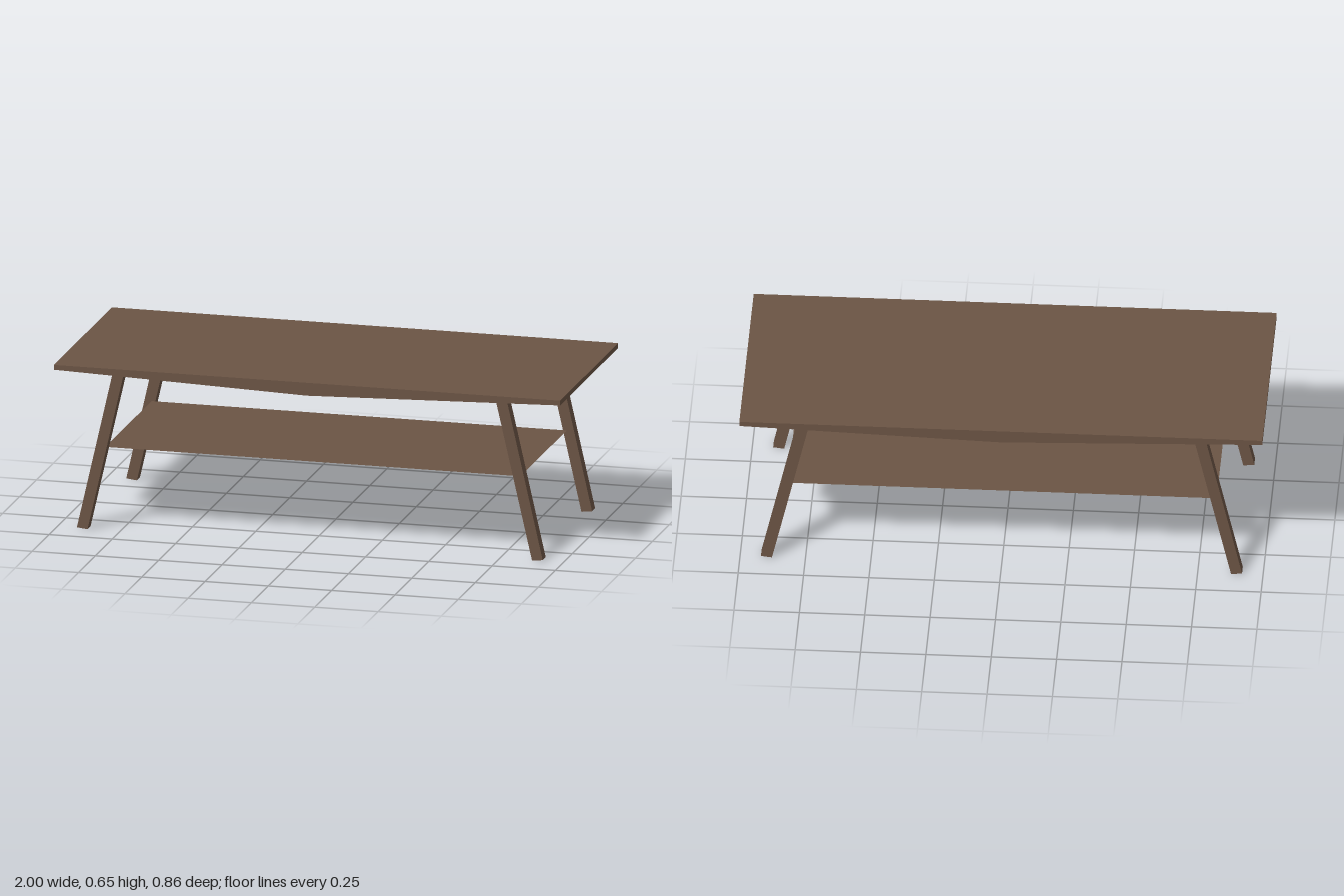
import * as THREE from 'three';

export function createModel() {
  const model = new THREE.Group();
  model.name = 'coffeeTable';
  const wood = new THREE.MeshStandardMaterial({ color: 0x6b5444, side: THREE.DoubleSide });
  wood.name = 'brown wood';

  // Extrude an outline in the x-y plane, centred on z = 0
  function slab(points, depth) {
    const shape = new THREE.Shape(points.map(([x, y]) => new THREE.Vector2(x, y)));
    const geometry = new THREE.ExtrudeGeometry(shape, { depth, bevelEnabled: false });
    return geometry.translate(0, 0, -depth / 2);
  }

  function add(name, geometry) {
    const mesh = new THREE.Mesh(geometry, wood);
    mesh.name = name;
    model.add(mesh);
    return mesh;
  }

  // Tabletop: flat above, underside thickening to a shallow ridge at the middle
  add('tabletop', slab([[-1, 0.653], [-1, 0.634], [0, 0.602], [1, 0.634], [1, 0.653]], 0.86));

  // Four square legs splayed outwards along x, with feet cut slightly off level
  for (const side of [-1, 1]) {
    for (const end of [-1, 1]) {
      const outline = [[0.878, 0], [0.92, 0.005], [0.778, 0.628], [0.734, 0.627]];
      const leg = add(
        (end > 0 ? 'front' : 'back') + (side > 0 ? 'Left' : 'Right') + 'Leg',
        slab(outline.map(([x, y]) => [side * x, y]), 0.045)
      );
      leg.position.z = end * 0.365;
    }
  }

  // Thin lower shelf held between the legs
  const shelf = add('shelf', new THREE.PlaneGeometry(1.64, 0.684).rotateX(-Math.PI / 2));
  shelf.position.y = 0.318;

  return model;
}
